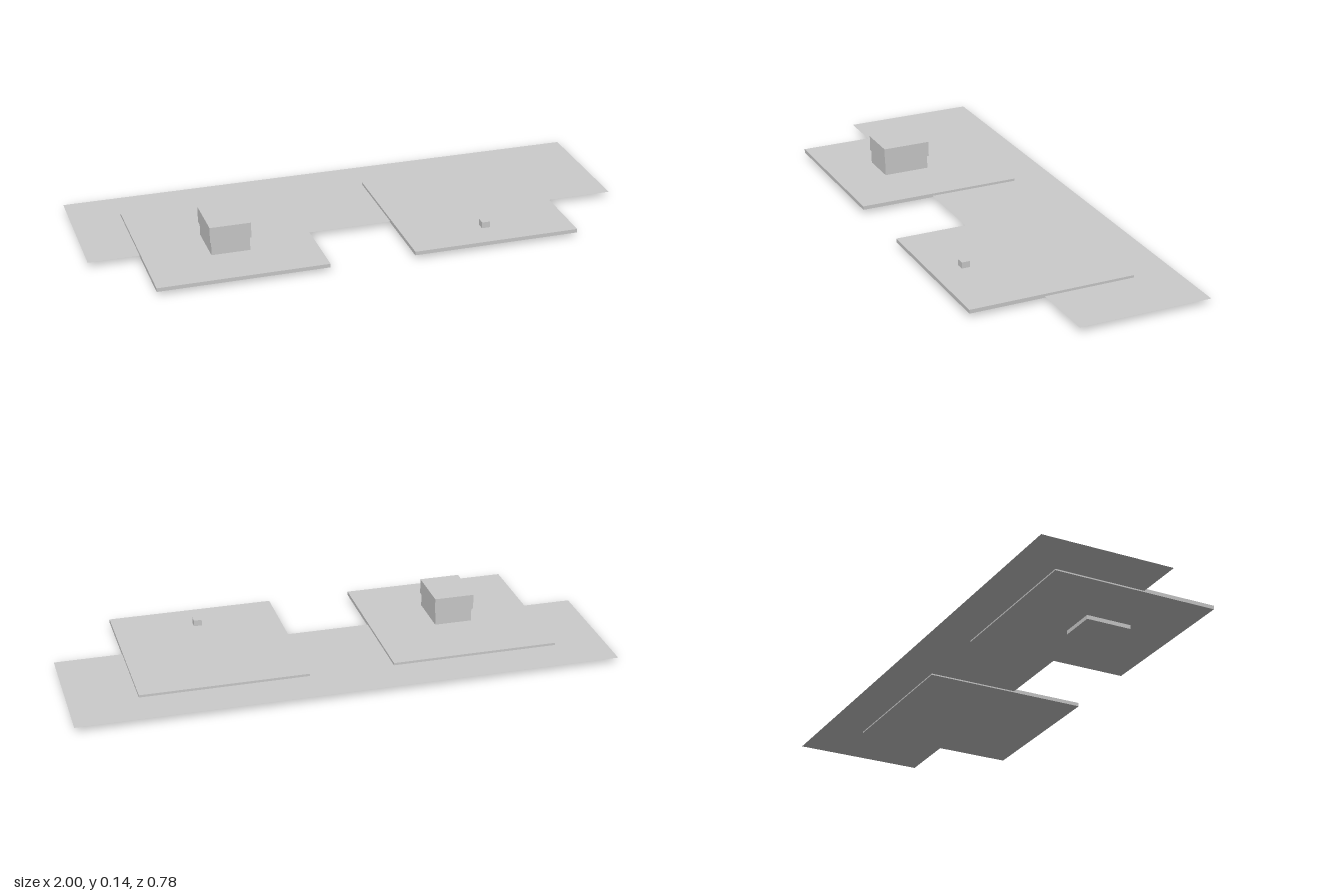
import * as THREE from 'three';

const material = new THREE.MeshStandardMaterial({ color: 0xcccccc, flatShading: true });
const sheetMaterial = new THREE.MeshStandardMaterial({ color: 0xcccccc, side: THREE.DoubleSide });

// Box given by its limits on each axis
function block(name, [x0, x1], [y0, y1], [z0, z1]) {
  const mesh = new THREE.Mesh(new THREE.BoxGeometry(x1 - x0, y1 - y0, z1 - z0), material);
  mesh.position.set((x0 + x1) / 2, (y0 + y1) / 2, (z0 + z1) / 2);
  mesh.name = name;
  return mesh;
}

export function createModel() {
  const model = new THREE.Group();
  model.name = 'slabsOnSheet';

  // Thin ground sheet along the back
  const sheet = new THREE.Mesh(new THREE.PlaneGeometry(2, 0.5).rotateX(-Math.PI / 2), sheetMaterial);
  sheet.position.set(0, 0.02, -0.14);
  sheet.name = 'groundSheet';
  model.add(sheet);

  // Two square slabs
  const slabY = [0.015, 0.029], slabZ = [-0.234, 0.39];
  model.add(block('rightSlab', [-0.813, -0.19], slabY, slabZ));
  model.add(block('leftSlab', [0.125, 0.748], slabY, slabZ));

  // Building that passes through the right slab, with a wider upper part
  const building = new THREE.Group();
  building.name = 'building';
  building.add(block('buildingBase', [-0.573, -0.431], [0, 0.08], [0.025, 0.2]));
  building.add(block('buildingTop', [-0.578, -0.427], [0.08, 0.138], [0.02, 0.204]));
  model.add(building);

  // Small cube on the left slab
  model.add(block('smallCube', [0.42, 0.45], [0.029, 0.052], [0.25, 0.281]));

  return model;
}
